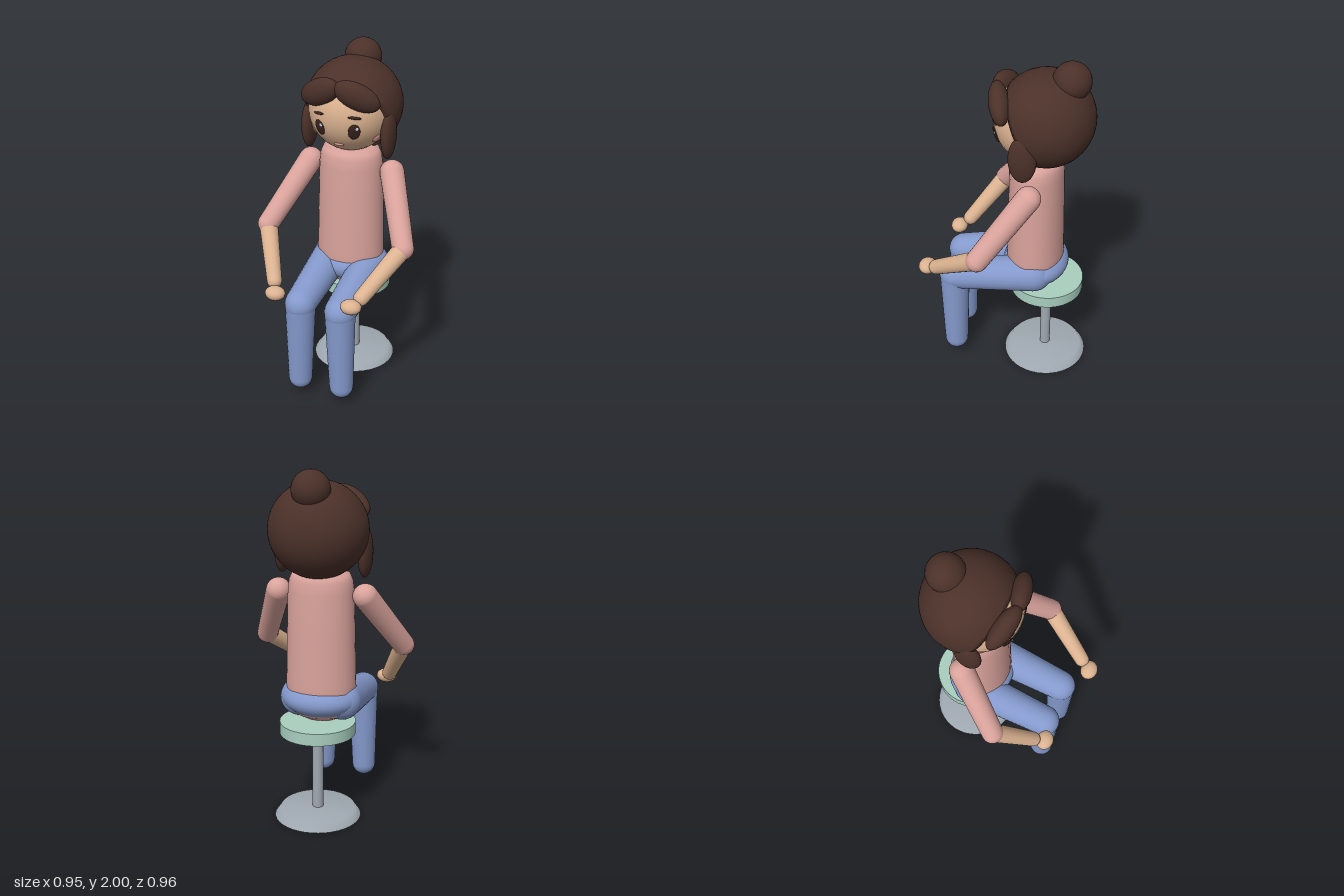
import * as THREE from 'three';

const paint = (name, hex) => {
  const m = new THREE.MeshStandardMaterial({ color: hex });
  m.name = name;
  return m;
};
const V = (x, y, z) => new THREE.Vector3(x, y, z);
const P = (x, y) => new THREE.Vector2(x, y);

export function createModel() {
  const model = new THREE.Group();
  model.name = 'seatedFigure';
  const hair = paint('hairBrown', 0x4b3129);
  const skin = paint('skin', 0xdcb391);
  const shirt = paint('shirtPink', 0xdaa39c);
  const jeans = paint('jeansBlue', 0x8499cc);
  const cushion = paint('seatGreen', 0xa9cfbf);
  const metal = paint('metalGrey', 0xa0a9b2);
  const dark = paint('eyeBrown', 0x3a2520);
  const blush = paint('blushPink', 0xe3a097);
  const glint = paint('eyeGlint', 0xe8eef5);

  const add = (name, geometry, material, pos = V(0, 0, 0)) => {
    const mesh = new THREE.Mesh(geometry, material);
    mesh.name = name;
    mesh.position.copy(pos);
    model.add(mesh);
    return mesh;
  };
  const ellipsoid = (name, material, pos, rx, ry, rz, seg = 28) => {
    const mesh = add(name, new THREE.SphereGeometry(1, seg, Math.ceil(seg * 0.6)), material, pos);
    mesh.scale.set(rx, ry, rz);
    return mesh;
  };
  // Tapered capsule from a (radius ra) to b (radius rb)
  const limb = (name, material, a, b, ra, rb) => {
    const dir = b.clone().sub(a);
    const len = dir.length();
    const pts = [];
    for (let i = 0; i <= 7; i++) {
      const t = (i / 7) * Math.PI / 2;
      pts.push(P(ra * Math.sin(t), -ra * Math.cos(t)));
    }
    for (let i = 0; i <= 7; i++) {
      const t = (i / 7) * Math.PI / 2;
      pts.push(P(rb * Math.cos(t), len + rb * Math.sin(t)));
    }
    const mesh = add(name, new THREE.LatheGeometry(pts, 24), material, a);
    mesh.quaternion.setFromUnitVectors(V(0, 1, 0), dir.normalize());
    return mesh;
  };

  // Stool
  const sz = -0.23;
  add('stoolBase', new THREE.LatheGeometry([P(0.247, 0), P(0.215, 0.045), P(0, 0.05)], 40), metal, V(0, 0, sz));
  const under = add('stoolBaseUnderside', new THREE.CircleGeometry(0.247, 40), metal, V(0, 0, sz));
  under.rotation.x = Math.PI / 2;
  add('stoolPole', new THREE.CylinderGeometry(0.031, 0.031, 0.48, 20), metal, V(0, 0.28, sz));
  add('stoolSeat', new THREE.CylinderGeometry(0.214, 0.214, 0.07, 40), cushion, V(0, 0.545, sz));

  // Torso: oval tapered body with rounded ends
  const torso = add('torso', new THREE.LatheGeometry([
    P(0, 0.575), P(0.1, 0.58), P(0.16, 0.61), P(0.19, 0.66), P(0.2, 0.74), P(0.199, 0.8),
    P(0.192, 1.1), P(0.186, 1.32), P(0.178, 1.38), P(0.163, 1.415), P(0.13, 1.43), P(0, 1.435),
  ], 36), shirt, V(0, 0, -0.16));
  torso.scale.z = 0.82;
  ellipsoid('pelvis', jeans, V(0, 0.7, -0.165), 0.225, 0.11, 0.19, 36);

  // Legs and arms
  const wrists = { right: V(-0.285, 0.715, 0.295), left: V(0.272, 0.765, 0.365) };
  const hands = { right: V(-0.252, 0.675, 0.357), left: V(0.238, 0.737, 0.428) };
  for (const [side, s] of [['right', -1], ['left', 1]]) {
    const knee = V(s * 0.122, 0.605, 0.3);
    limb(side + 'Thigh', jeans, V(s * 0.125, 0.69, -0.17), knee, 0.11, 0.09);
    limb(side + 'Shin', jeans, knee, V(s * 0.13, 0.107, 0.3), 0.088, 0.07);
    const elbow = V(s * 0.412, 0.965, 0.095);
    limb(side + 'Sleeve', shirt, V(s * 0.25, 1.3, -0.155), elbow, 0.07, 0.062);
    limb(side + 'Forearm', skin, elbow, wrists[side], 0.054, 0.043);
    ellipsoid(side + 'Hand', skin, hands[side], 0.06, 0.041, 0.051, 16);
  }

  // Head
  const headPos = V(0, 1.65, -0.16);
  const headR = 0.24;
  ellipsoid('head', skin, headPos, headR, headR, headR, 40);

  // Hair cap: sphere cut by a plane that tilts towards the face
  const hr = 0.267;
  const cap = [P(0, -0.12)];
  const start = Math.acos(-0.12 / hr);
  for (let i = 0; i <= 24; i++) {
    const t = start * (1 - i / 24);
    cap.push(P(hr * Math.sin(t), hr * Math.cos(t)));
  }
  const hairCap = add('hairCap', new THREE.LatheGeometry(cap, 44), hair, V(0, 1.663, -0.205));
  hairCap.rotation.x = -1.126;
  hairCap.scale.x = 1.03;
  ellipsoid('hairBun', hair, V(0, 1.895, -0.333), 0.105, 0.105, 0.105, 24);

  // Face details lie flat on the head, turned to its surface
  const onFace = (name, material, x, y, rx, ry, depth, roll = 0, lift = 0) => {
    const dy = y - headPos.y;
    const n = V(x, dy, Math.sqrt(headR * headR - x * x - dy * dy)).normalize();
    const mesh = ellipsoid(name, material, headPos.clone().addScaledVector(n, headR + lift), rx, ry, depth, 20);
    mesh.rotation.set(-Math.asin(n.y), Math.atan2(n.x, n.z), roll, 'YXZ');
  };
  for (const [side, s] of [['right', -1], ['left', 1]]) {
    const fringe = ellipsoid(side + 'Fringe', hair, V(s * 0.107, 1.785, 0.03), 0.136, 0.075, 0.056);
    fringe.rotation.set(0.18, s * 0.2, -s * 0.5);
    ellipsoid(side + 'SideLock', hair, V(s * 0.237, 1.535, -0.118), 0.04, 0.14, 0.077);
    onFace(side + 'Eye', dark, s * 0.1, 1.59, 0.034, 0.048, 0.009);
    onFace(side + 'EyeGlint', glint, s * 0.1 + 0.014, 1.611, 0.009, 0.011, 0.004, 0, 0.006);
    onFace(side + 'Brow', dark, s * 0.105, 1.672, 0.038, 0.008, 0.009, -s * 0.12);
    onFace(side + 'Cheek', blush, s * 0.187, 1.522, 0.036, 0.029, 0.009);
  }
  onFace('mouth', blush, 0, 1.495, 0.03, 0.011, 0.008);

  return model;
}
